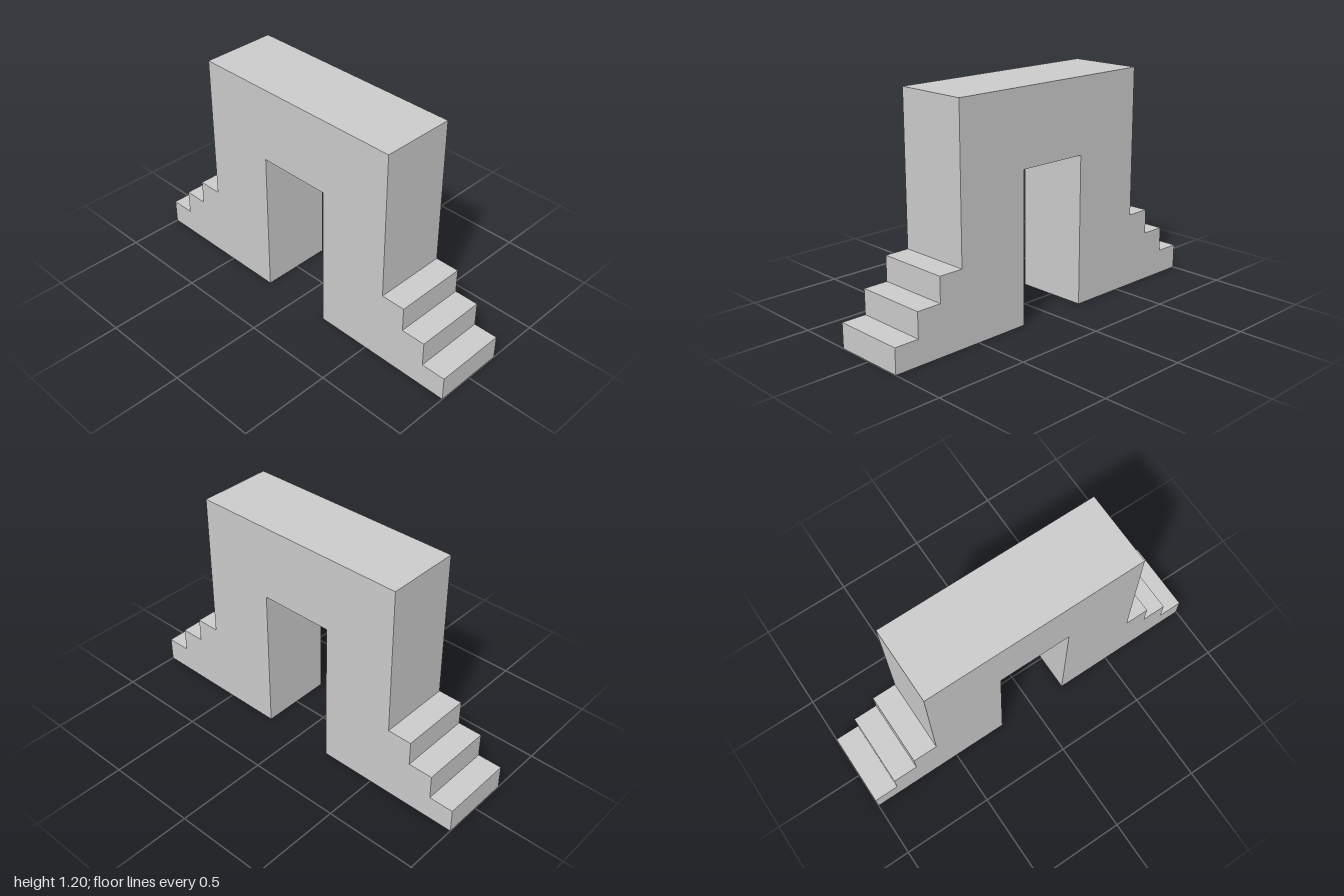
import * as THREE from 'three';

const WIDTH = 0.4;       // thickness across x
const STEPS = 3;
const STEP = 0.4 / STEPS; // rise and run of each step

export function createModel() {
  const group = new THREE.Group();
  group.name = 'steppedArch';

  // Half of the side outline, from the doorway's foot out and up to the roof edge
  const half = [[0.2, 0.8], [0.2, 0], [1, 0]];
  for (let i = 0; i < STEPS; i++) {
    const z = 1 - i * STEP;
    const y = (i + 1) * STEP;
    half.push([z, y], [z - STEP, y]);
  }
  half.push([0.6, 1.2]);

  // Mirror the half to close the outline
  const mirrored = half.map(([z, y]) => [-z, y]).reverse();
  const outline = [...half, ...mirrored].map(([z, y]) => new THREE.Vector2(z, y));

  // Extrude across the width, then turn the outline to run along z
  const geometry = new THREE.ExtrudeGeometry(new THREE.Shape(outline), {
    depth: WIDTH,
    bevelEnabled: false,
  });
  geometry.translate(0, 0, -WIDTH / 2);
  geometry.rotateY(-Math.PI / 2);

  const arch = new THREE.Mesh(
    geometry,
    new THREE.MeshStandardMaterial({ color: 0xcccccc, flatShading: true })
  );
  arch.name = 'archWithSteps';
  group.add(arch);
  return group;
}
